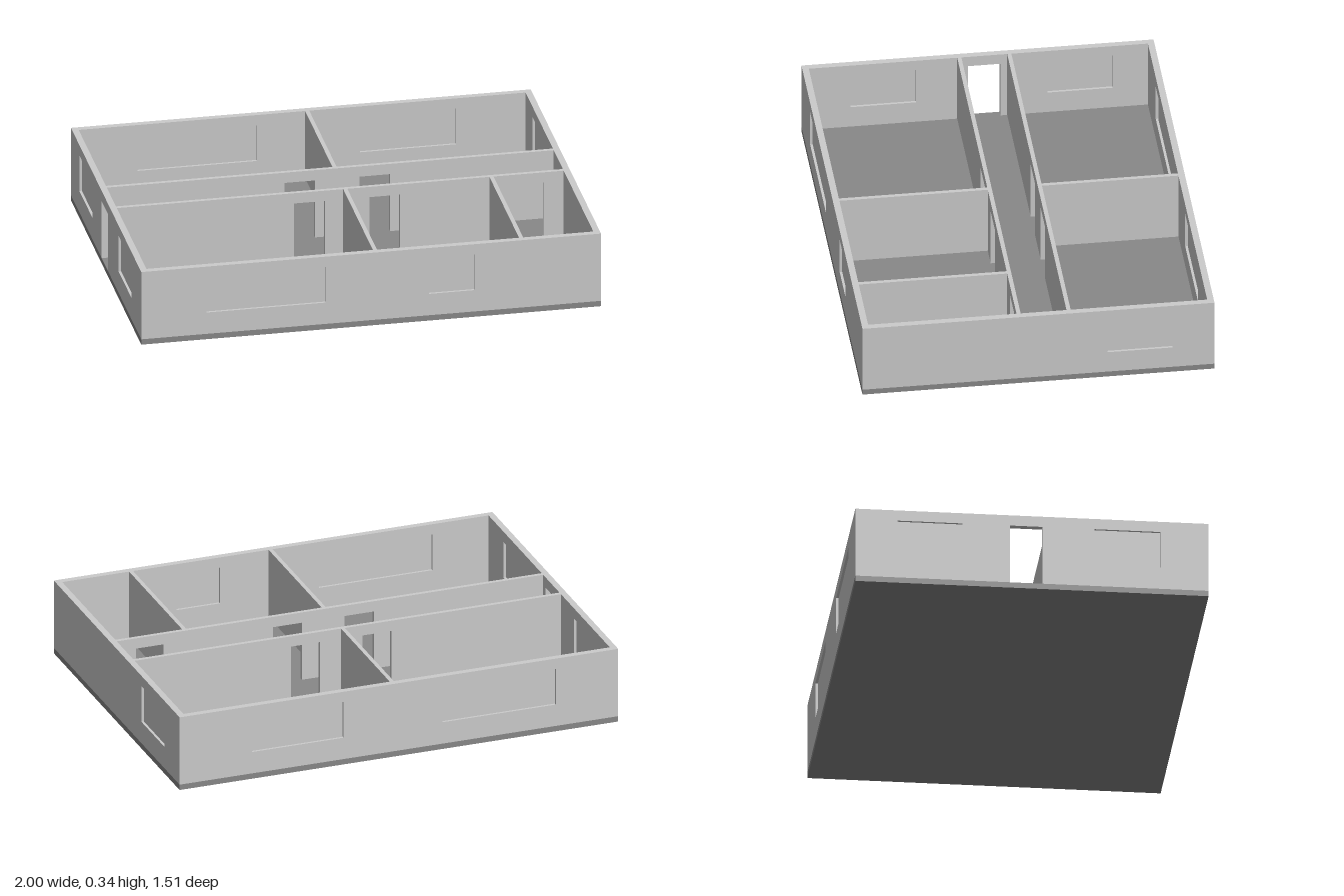
import * as THREE from 'three';

const W = 1, D = 0.757;            // half width and half depth of the house
const FLOOR = 0.025, TOP = 0.34;   // slab top and wall top
const SILL = 0.125, HEAD = 0.292;  // opening heights
const OUTER = 0.028, INNER = 0.018; // wall thicknesses

const wallMaterial = new THREE.MeshStandardMaterial({ color: 0xcccccc });
const slabMaterial = new THREE.MeshStandardMaterial({ color: 0x888888 });

// Wall running from a to b along x (or along z when alongZ), centred at "at" on the other axis.
// doors and windows are lists of [start, end] along the wall.
function makeWall(name, { a, b, at, thick, alongZ = false, doors = [], windows = [] }) {
  const group = new THREE.Group();
  group.name = name;

  const shape = new THREE.Shape();
  shape.moveTo(a, FLOOR);
  for (const [s, e] of doors) {
    shape.lineTo(s, FLOOR);
    shape.lineTo(s, HEAD);
    shape.lineTo(e, HEAD);
    shape.lineTo(e, FLOOR);
  }
  shape.lineTo(b, FLOOR);
  shape.lineTo(b, TOP);
  shape.lineTo(a, TOP);
  shape.closePath();

  for (const [s, e] of windows) {
    const hole = new THREE.Path();
    hole.moveTo(s, SILL);
    hole.lineTo(s, HEAD);
    hole.lineTo(e, HEAD);
    hole.lineTo(e, SILL);
    hole.closePath();
    shape.holes.push(hole);

    // Thin pane set in the middle of the wall
    const pane = new THREE.Mesh(new THREE.BoxGeometry(e - s, HEAD - SILL, 0.006), wallMaterial);
    pane.position.set((s + e) / 2, (SILL + HEAD) / 2, 0);
    pane.name = 'windowPane';
    group.add(pane);
  }

  const geometry = new THREE.ExtrudeGeometry(shape, { depth: thick, bevelEnabled: false });
  geometry.translate(0, 0, -thick / 2);
  const panel = new THREE.Mesh(geometry, wallMaterial);
  panel.name = 'wallPanel';
  group.add(panel);

  if (alongZ) {
    group.rotation.y = -Math.PI / 2;
    group.position.x = at;
  } else {
    group.position.z = at;
  }
  return group;
}

export function createModel() {
  const house = new THREE.Group();
  house.name = 'floorPlanHouse';

  // Floor slab
  const slab = new THREE.Mesh(new THREE.BoxGeometry(2 * W, FLOOR, 2 * D), slabMaterial);
  slab.position.y = FLOOR / 2;
  slab.name = 'floorSlab';
  house.add(slab);

  // Outer walls: side walls run full depth, front and back fit between them
  const inX = W - OUTER, inZ = D - OUTER;
  const longWall = { a: -inX, b: inX, thick: OUTER };
  const sideWall = { a: -D, b: D, thick: OUTER, alongZ: true };
  house.add(
    makeWall('frontWall', { ...longWall, at: D - OUTER / 2, windows: [[-0.716, -0.198], [0.252, 0.45]] }),
    makeWall('backWall', { ...longWall, at: -D + OUTER / 2, windows: [[-0.716, -0.198], [0.252, 0.67]] }),
    makeWall('leftWall', { ...sideWall, at: W - OUTER / 2, windows: [[-0.577, -0.297]] }),
    makeWall('rightWall', {
      ...sideWall, at: -W + OUTER / 2,
      doors: [[-0.095, 0.045]],
      windows: [[-0.577, -0.297], [0.268, 0.55]],
    }),
  );

  // Corridor walls with doorways into the rooms
  const corridorFront = 0.082, corridorBack = -0.133;
  const roomDoors = [[-0.2, -0.067], [0.127, 0.26]];
  const corridor = { a: -inX, b: inX, thick: INNER };
  house.add(
    makeWall('corridorFrontWall', { ...corridor, at: corridorFront, doors: [...roomDoors, [0.76, 0.885]] }),
    makeWall('corridorBackWall', { ...corridor, at: corridorBack, doors: roomDoors }),
  );

  // Partitions between the rooms
  const half = INNER / 2;
  const partition = { thick: INNER, alongZ: true };
  house.add(
    makeWall('backPartition', { ...partition, a: -inZ, b: corridorBack - half, at: 0.022 }),
    makeWall('frontPartition', { ...partition, a: corridorFront + half, b: inZ, at: 0.022 }),
    makeWall('smallRoomPartition', { ...partition, a: corridorFront + half, b: inZ, at: 0.658 }),
  );

  return house;
}
